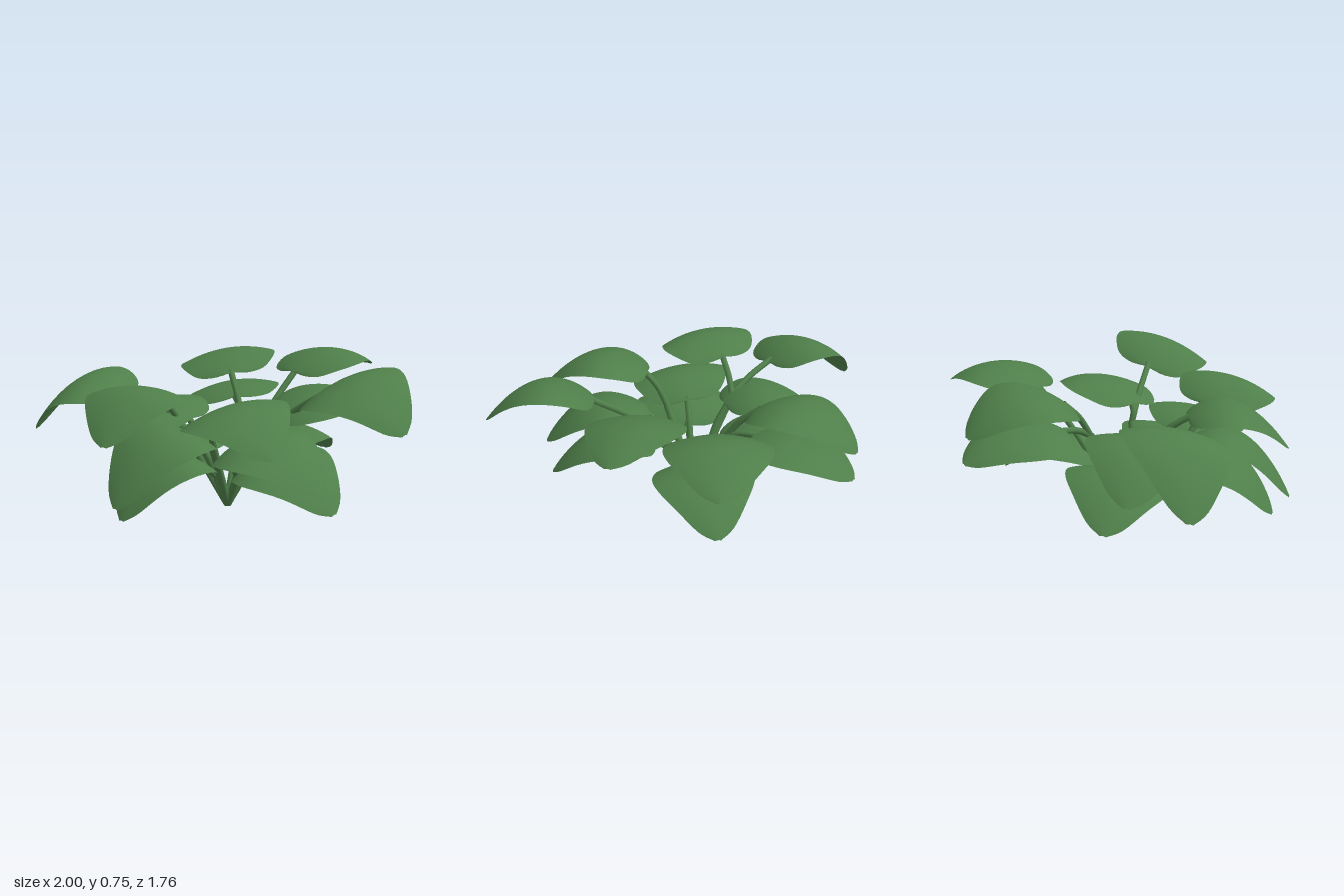
import * as THREE from 'three';

const foliage = new THREE.MeshStandardMaterial({ color: 0x4f7f4a, side: THREE.DoubleSide });
foliage.name = 'leaf green';

const HALF_WIDTH = 0.248;
const vec = (p) => new THREE.Vector3(...p);

// Half-outline of a leaf: distance along the midrib, relative half width
const outline = new THREE.SplineCurve([
  [0, 0], [0.015, 0.42], [0.1, 0.77], [0.32, 1], [0.53, 0.94], [0.75, 0.66], [0.92, 0.35], [1, 0.06],
].map(([u, w]) => new THREE.Vector2(u, w)));

// Arched blade from its stalk end to its tip; roll tilts it about the midrib
function leafGeometry(base, along, arch, roll) {
  const rows = 28, cols = 14, pos = [], index = [];
  const side = new THREE.Vector3(-along.z, 0, along.x).normalize();
  for (let i = 0; i <= rows; i++) {
    const { x: u, y: w } = outline.getPoint(i / rows);
    const half = Math.max(w, 0) * HALF_WIDTH;
    const mid = base.clone().addScaledVector(along, u);
    mid.y += 4 * arch * u * (1 - u);
    for (let j = 0; j <= cols; j++) {
      const s = (j / cols) * 2 - 1;
      const p = mid.clone().addScaledVector(side, s * half);
      p.y += roll * s * half - 0.2 * s * s * half;
      pos.push(p.x, p.y, p.z);
      if (i < rows && j < cols) {
        const a = i * (cols + 1) + j, b = a + cols + 1;
        index.push(a, a + 1, b, b, a + 1, b + 1);
      }
    }
  }
  const g = new THREE.BufferGeometry();
  g.setAttribute('position', new THREE.Float32BufferAttribute(pos, 3));
  g.setIndex(index);
  g.computeVertexNormals();
  return g;
}

function stem(name, points, radius) {
  const curve = new THREE.CatmullRomCurve3(points);
  const mesh = new THREE.Mesh(new THREE.TubeGeometry(curve, 14, radius, 8), foliage);
  mesh.name = name;
  return mesh;
}

// Stems from one root; each leaf has its stalk end, heading in degrees
// from +x towards +z, and the drop of its tip
const root = vec([-0.03, 0.012, 0.15]);
const stems = [
  { name: 'rightStem', fork: [0.17, 0.4, 0.06], leaves: [
    { at: [0.48, 0.62, 0.08], heading: 14, drop: 0.1, arch: 0.15, roll: -0.28 },
    { at: [0.2, 0.49, 0.07], heading: -54, drop: -0.02, arch: 0.09, roll: -0.12 },
  ] },
  { name: 'lowerRightStem', fork: [0.06, 0.17, 0.19], leaves: [
    { at: [0.16, 0.37, 0.36], heading: 2, drop: 0.13, roll: -0.2 },
    { at: [0.16, 0.26, 0.19], heading: 9, drop: 0.14, roll: -0.2 },
  ] },
  { name: 'leftStem', fork: [-0.27, 0.44, 0.25], leaves: [
    { at: [-0.49, 0.55, 0.35], heading: 162, drop: 0.22, arch: 0.17, roll: 0.2 },
    { at: [-0.27, 0.58, 0.4], heading: 77, drop: 0.16, length: 0.48 },
  ] },
  { name: 'lowerLeftStem', fork: [-0.11, 0.17, 0.16], leaves: [
    { at: [-0.21, 0.43, 0.2], heading: 180, drop: 0.15, roll: 0.15 },
    { at: [-0.18, 0.25, 0.1], heading: 181, drop: 0.12, roll: 0.15 },
  ] },
  { name: 'frontRightStem', fork: [0.05, 0.36, 0.36], leaves: [
    { at: [0.13, 0.53, 0.45], heading: 22, drop: 0.09, roll: -0.18 },
  ] },
  { name: 'frontStem', fork: [-0.04, 0.16, 0.22], leaves: [
    { at: [-0.06, 0.38, 0.35], heading: 93, drop: 0.23, arch: 0.18, roll: 0.1 },
    { at: [-0.05, 0.24, 0.33], heading: 99, drop: 0.17, arch: 0.17, length: 0.48 },
  ] },
  { name: 'backLeftStem', fork: [-0.13, 0.41, -0.09], leaves: [
    { at: [-0.26, 0.6, -0.17], heading: -134, drop: 0.08, roll: 0.15 },
    { at: [-0.25, 0.47, -0.19], heading: -133, drop: 0.08, arch: 0.08, roll: 0.15 },
  ] },
  { name: 'backStem', fork: [-0.07, 0.25, -0.08], leaves: [
    { at: [-0.01, 0.61, -0.36], heading: -75, drop: 0.01, arch: 0.1 },
    { at: [0.01, 0.27, -0.05], heading: -86, drop: 0.1 },
  ] },
];

export function createModel() {
  const plant = new THREE.Group();
  plant.name = 'leafyPlant';

  for (const { name, fork, leaves } of stems) {
    const branch = new THREE.Group();
    branch.name = name;
    const joint = vec(fork);
    branch.add(stem('mainStem', [root, joint], 0.02));

    leaves.forEach(({ at, heading, drop, arch = 0.13, roll = 0, length = 0.53 }, i) => {
      const base = vec(at);
      const angle = THREE.MathUtils.degToRad(heading);
      const along = new THREE.Vector3(Math.cos(angle) * length, -drop, Math.sin(angle) * length);
      const blade = new THREE.Mesh(leafGeometry(base, along, arch, roll), foliage);
      blade.name = `leaf${i + 1}`;

      // Stalk, bowed slightly upwards and running a little way under the blade
      const bow = joint.clone().lerp(base, 0.5);
      bow.y += 0.01;
      const end = base.clone().addScaledVector(along, 0.05);
      end.y += arch * 0.19 - 0.015;
      branch.add(blade, stem(`stalk${i + 1}`, [joint, bow, end], 0.016));
    });
    plant.add(branch);
  }

  return plant;
}
